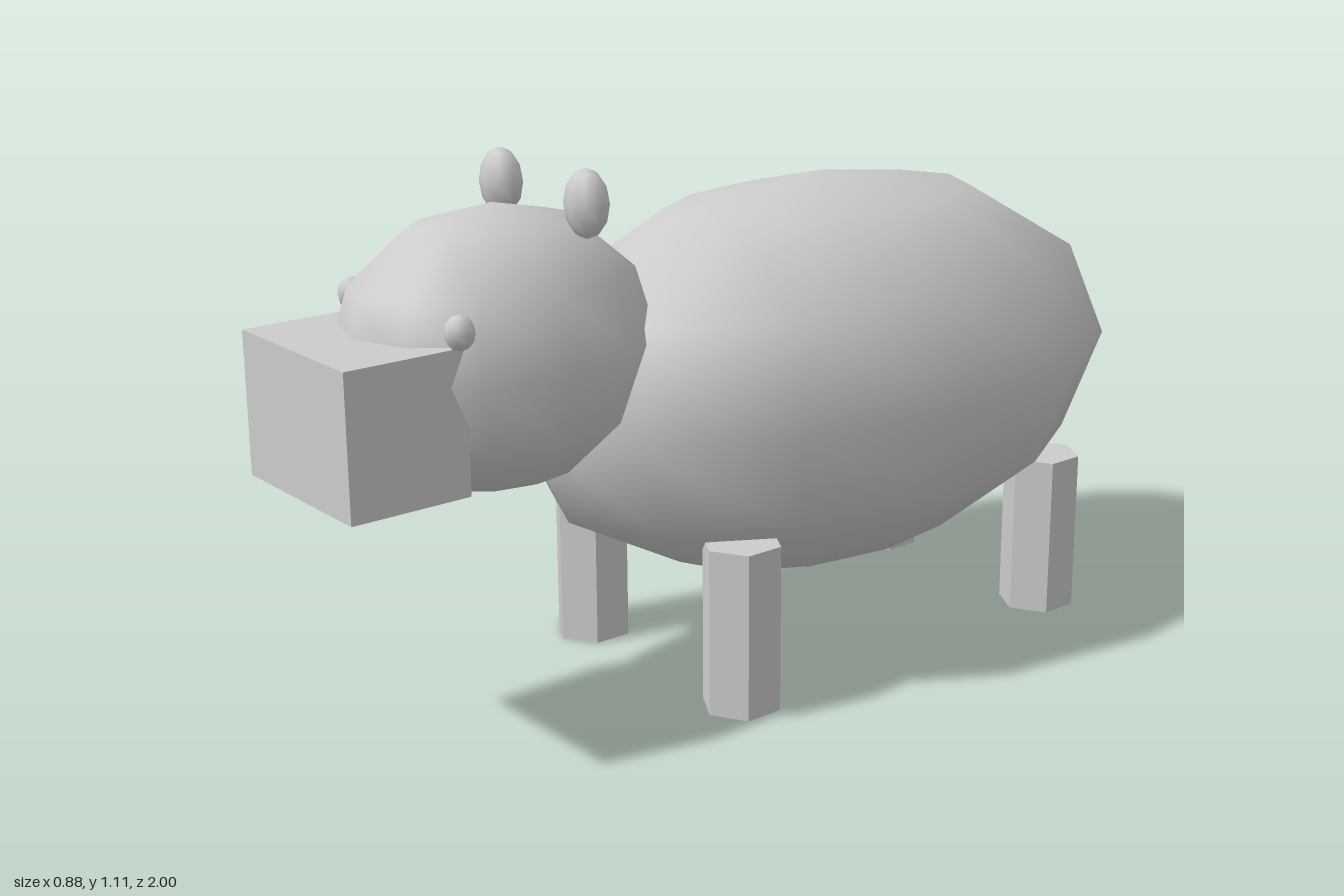
import * as THREE from 'three';

export function createModel() {
  const model = new THREE.Group();
  model.name = 'hippo';
  const hide = new THREE.MeshStandardMaterial({ color: 0xcccccc });
  hide.name = 'greyHide';
  const flatHide = hide.clone();
  flatHide.name = 'greyHideFaceted';
  flatHide.flatShading = true;

  const add = (name, geometry, material, x, y, z) => {
    const mesh = new THREE.Mesh(geometry, material);
    mesh.name = name;
    mesh.position.set(x, y, z);
    model.add(mesh);
    return mesh;
  };

  // Low-poly ellipsoid with smooth shading
  const ellipsoid = (rx, ry, rz, w, h) => new THREE.SphereGeometry(1, w, h).scale(rx, ry, rz);

  add('body', ellipsoid(0.442, 0.416, 0.76, 12, 6), hide, 0, 0.579, -0.24);
  add('head', ellipsoid(0.25, 0.276, 0.33, 12, 6), hide, 0, 0.759, 0.575);
  add('snout', new THREE.BoxGeometry(0.36, 0.277, 0.245), flatHide, 0, 0.69, 0.8775);

  // Paired parts, mirrored across x
  const ear = ellipsoid(0.048, 0.066, 0.04, 8, 6);
  const eye = ellipsoid(0.027, 0.033, 0.03, 8, 6);
  const leg = new THREE.CylinderGeometry(0.082, 0.082, 0.347, 6);
  for (const [side, s] of [['left', 1], ['right', -1]]) {
    add(side + 'Ear', ear, hide, s * 0.139, 1.039, 0.46);
    add(side + 'Eye', eye, hide, s * 0.183, 0.858, 0.769);
    add(side + 'FrontLeg', leg, flatHide, s * 0.25, 0.1735, 0.183);
    add(side + 'BackLeg', leg, flatHide, s * 0.25, 0.1735, -0.68);
  }
  return model;
}
